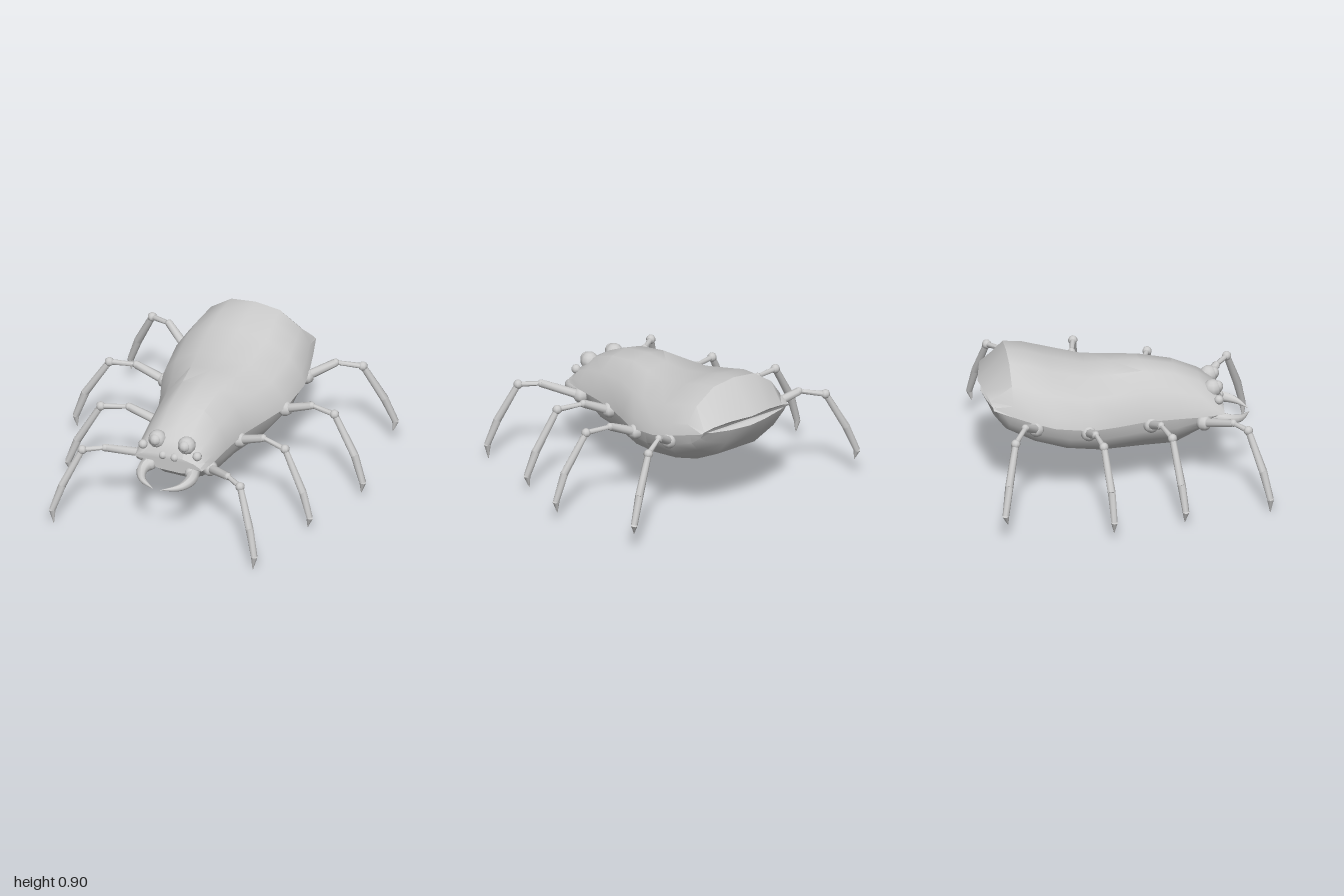
import * as THREE from 'three';
import { toCreasedNormals } from 'three/addons/utils/BufferGeometryUtils.js';

const grey = new THREE.MeshStandardMaterial({ color: 0xcccccc });
const V = (p) => new THREE.Vector3(...p);

function add(parent, name, geometry) {
  const mesh = new THREE.Mesh(geometry, grey);
  mesh.name = name;
  parent.add(mesh);
  return mesh;
}

// Closed skin over equal-length rings, ordered front to back, capped at both ends
function loft(rings, crease) {
  const n = rings[0].length;
  const points = rings.flat();
  const index = [];
  for (let i = 0; i < rings.length - 1; i++) {
    for (let j = 0; j < n; j++) {
      const a = i * n + j, b = i * n + (j + 1) % n;
      index.push(a, a + n, b, b, a + n, b + n);
    }
  }
  [0, rings.length - 1].forEach((r, end) => {
    const centre = rings[r].reduce((s, p) => s.add(p), new THREE.Vector3()).divideScalar(n);
    const c = points.push(centre) - 1;
    for (let j = 0; j < n; j++) {
      const a = r * n + j, b = r * n + (j + 1) % n;
      index.push(c, ...(end ? [b, a] : [a, b]));
    }
  });
  const g = new THREE.BufferGeometry().setFromPoints(points);
  g.setIndex(index);
  return toCreasedNormals(g, crease);
}

// Half profile (x fraction, height fraction) scaled into a mirrored ring.
// Rows hold z, half width, seam height, far height and rear bow.
function ring(profile, [z, w, seam, far, bow = 0]) {
  const left = profile.map(([u, v]) => new THREE.Vector3(u * w, seam + v * (far - seam), z - bow * (1 - u)));
  const right = left.slice(0, -1).reverse().map((p) => new THREE.Vector3(-p.x, p.y, p.z));
  const all = [...left, ...right];
  return far > seam ? all : all.reverse();
}

// Tapered round segment between two points
function segment(parent, name, a, b, r0, r1, sides = 8) {
  const from = V(a), dir = V(b).sub(from);
  const g = new THREE.CylinderGeometry(r1, r0, dir.length(), sides);
  const mesh = add(parent, name, toCreasedNormals(g, 0.9));
  mesh.position.copy(from).addScaledVector(dir, 0.5);
  mesh.quaternion.setFromUnitVectors(new THREE.Vector3(0, 1, 0), dir.normalize());
}

function ball(parent, name, p, r, sides = 10) {
  const mesh = add(parent, name, new THREE.SphereGeometry(r, sides, 7));
  mesh.position.set(...p);
  return mesh;
}

function makeLeg(name, [root, elbow, knee, shin, ankle, tip]) {
  const leg = new THREE.Group();
  leg.name = name;
  ball(leg, 'hip', root, 0.05, 8);
  segment(leg, 'thigh', root, elbow, 0.03, 0.025);
  ball(leg, 'elbowJoint', elbow, 0.024, 8);
  segment(leg, 'foreLeg', elbow, knee, 0.014, 0.018);
  ball(leg, 'kneeJoint', knee, 0.03, 8);
  segment(leg, 'upperShin', knee, shin, 0.021, 0.026);
  segment(leg, 'lowerShin', shin, ankle, 0.026, 0.021);
  segment(leg, 'claw', ankle, tip, 0.022, 0.002);
  return leg;
}

// Curved fang: a tube whose rings shrink towards the tip
function fangGeometry(points, radius) {
  const curve = new THREE.CatmullRomCurve3(points.map(V));
  const steps = 12, sides = 8;
  const g = new THREE.TubeGeometry(curve, steps, radius, sides);
  const pos = g.attributes.position, p = new THREE.Vector3();
  for (let i = 0; i < pos.count; i++) {
    const t = Math.floor(i / (sides + 1)) / steps;
    const c = curve.getPointAt(t);
    p.fromBufferAttribute(pos, i).sub(c).multiplyScalar(1 - 0.97 * t ** 1.3).add(c);
    pos.setXYZ(i, p.x, p.y, p.z);
  }
  g.computeVertexNormals();
  return g;
}

export function createModel() {
  const model = new THREE.Group();
  model.name = 'spider';

  // Upper shell, humped towards the rear and ending in a pointed rim
  const shellProfile = [[1, 0], [0.95, 0.24], [0.77, 0.6], [0.42, 0.93], [0, 1]];
  const shellRows = [
    [0.64, 0.23, 0.48, 0.54], [0.59, 0.24, 0.48, 0.62], [0.5, 0.255, 0.48, 0.675],
    [0.34, 0.272, 0.485, 0.745], [0.13, 0.3, 0.49, 0.785], [-0.05, 0.36, 0.495, 0.785],
    [-0.22, 0.425, 0.51, 0.785], [-0.45, 0.45, 0.55, 0.845], [-0.59, 0.425, 0.585, 0.89],
    [-0.71, 0.395, 0.62, 0.905], [-0.83, 0.36, 0.655, 0.7, 0.06],
  ];
  add(model, 'upperShell', loft(shellRows.map((r) => ring(shellProfile, r)), 0.6));

  // Belly, set slightly inside the shell
  const bellyProfile = [[1, 0], [0.96, 0.35], [0.82, 0.65], [0.4, 1], [0, 1]];
  const bellyRows = [
    [0.61, 0.2, 0.49, 0.41], [0.5, 0.22, 0.49, 0.32], [0.34, 0.255, 0.495, 0.245],
    [0.13, 0.285, 0.5, 0.243], [-0.13, 0.375, 0.51, 0.245], [-0.35, 0.425, 0.54, 0.28],
    [-0.55, 0.415, 0.58, 0.34], [-0.73, 0.375, 0.63, 0.43], [-0.79, 0.355, 0.655, 0.53, 0.03],
    [-0.82, 0.345, 0.67, 0.63, 0.05],
  ];
  add(model, 'belly', loft(bellyRows.map((r) => ring(bellyProfile, r)), 0.6));

  // Legs: hip, elbow, knee, shin, ankle, tip, on the model's left
  const legs = {
    front: [[0.23, 0.43, 0.51], [0.42, 0.51, 0.67], [0.54, 0.51, 0.75], [0.64, 0.27, 0.83], [0.69, 0.1, 0.87], [0.68, 0.005, 0.87]],
    frontMiddle: [[0.28, 0.46, 0.17], [0.46, 0.54, 0.21], [0.63, 0.53, 0.26], [0.77, 0.27, 0.3], [0.825, 0.11, 0.32], [0.81, 0.035, 0.315]],
    rearMiddle: [[0.41, 0.49, -0.24], [0.6, 0.57, -0.22], [0.77, 0.565, -0.19], [0.92, 0.32, -0.16], [0.98, 0.14, -0.15], [0.97, 0.065, -0.15]],
    rear: [[0.41, 0.54, -0.57], [0.57, 0.63, -0.66], [0.72, 0.595, -0.74], [0.84, 0.36, -0.795], [0.905, 0.19, -0.825], [0.895, 0.125, -0.81]],
  };

  for (const [s, side] of [[1, 'Left'], [-1, 'Right']]) {
    const flip = (p) => [p[0] * s, p[1], p[2]];
    for (const [name, joints] of Object.entries(legs)) {
      model.add(makeLeg(`${name}Leg${side}`, joints.map(flip)));
    }

    // Eyes: one large with a raised pupil, two small
    ball(model, `largeEye${side}`, flip([0.1, 0.605, 0.58]), 0.058);
    ball(model, `pupil${side}`, flip([0.1, 0.615, 0.61]), 0.038);
    ball(model, `outerEye${side}`, flip([0.185, 0.562, 0.61]), 0.03);
    ball(model, `innerEye${side}`, flip([0.04, 0.53, 0.63]), 0.027);

    // Fangs curving inward
    const path = [[0.14, 0.43, 0.57], [0.165, 0.415, 0.66], [0.13, 0.4, 0.75], [0.025, 0.392, 0.82]];
    add(model, `fang${side}`, fangGeometry(path.map(flip), 0.046));
    ball(model, `fangBase${side}`, flip([0.145, 0.425, 0.6]), 0.046);
  }
  return model;
}
